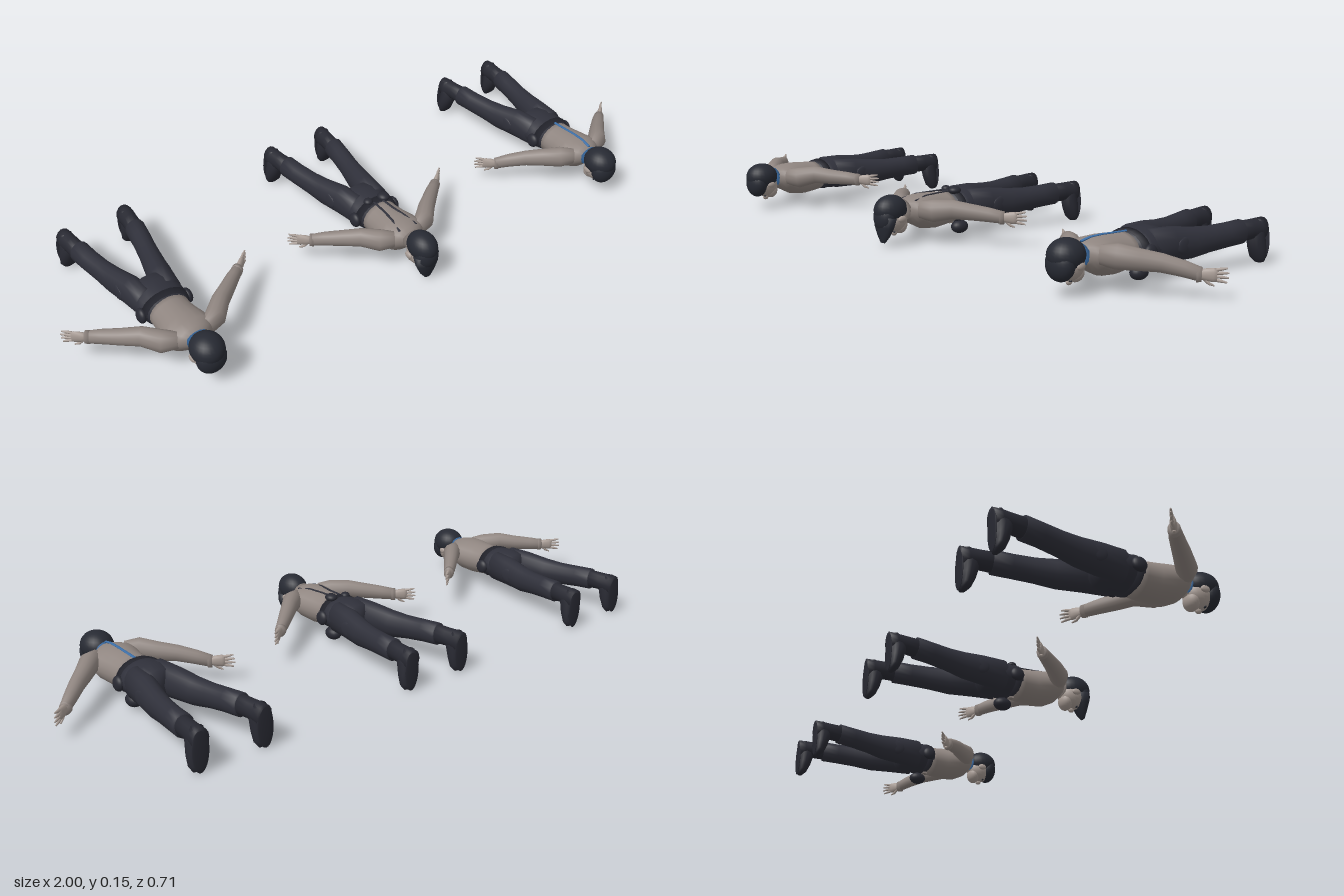
import * as THREE from 'three';

const paint = (name, hex) => {
  const m = new THREE.MeshStandardMaterial({ color: hex });
  m.name = name;
  return m;
};

// Smooth closed tube through elliptical sections [x, y, z, halfWidth, halfHeight]
function loftGeometry(sections, up, sides = 14) {
  const pts = sections.map(s => new THREE.Vector3(s[0], s[1], s[2]));
  const pos = [], idx = [];
  sections.forEach((s, i) => {
    const t = pts[Math.min(i + 1, pts.length - 1)].clone().sub(pts[Math.max(i - 1, 0)]).normalize();
    const side = up.clone().cross(t).normalize();
    const u = t.clone().cross(side);
    for (let k = 0; k < sides; k++) {
      const a = (k / sides) * Math.PI * 2;
      const p = pts[i].clone().addScaledVector(side, s[3] * Math.cos(a)).addScaledVector(u, s[4] * Math.sin(a));
      pos.push(p.x, p.y, p.z);
    }
  });
  for (let i = 0; i < sections.length - 1; i++) {
    for (let k = 0; k < sides; k++) {
      const a = i * sides + k, b = i * sides + (k + 1) % sides;
      idx.push(a, b, b + sides, a, b + sides, a + sides);
    }
  }
  // End caps
  const first = pos.length / 3, last = first + 1, base = (sections.length - 1) * sides;
  pos.push(...pts[0].toArray(), ...pts[pts.length - 1].toArray());
  for (let k = 0; k < sides; k++) {
    const n = (k + 1) % sides;
    idx.push(first, n, k, last, base + k, base + n);
  }
  const g = new THREE.BufferGeometry();
  g.setAttribute('position', new THREE.Float32BufferAttribute(pos, 3));
  g.setIndex(idx);
  g.computeVertexNormals();
  return g;
}

const Y = new THREE.Vector3(0, 1, 0), Z = new THREE.Vector3(0, 0, 1);

export function createModel() {
  const dark = paint('darkCloth', 0x2f303a);
  const boot = paint('bootLeather', 0x282932);
  const hairMat = paint('darkHair', 0x272a33);
  const shirt = paint('greyShirt', 0x8f8580);
  const skin = paint('skin', 0xa89c95);
  const blue = paint('blueTrim', 0x3c6fa8);

  const add = (parent, name, geo, mat) => {
    const m = new THREE.Mesh(geo, mat);
    m.name = name;
    parent.add(m);
    return m;
  };
  const loft = (parent, name, sections, mat, up = Y, sides = 14) =>
    add(parent, name, loftGeometry(sections, up, sides), mat);
  const ball = (parent, name, p, r, mat) => {
    const m = add(parent, name, new THREE.SphereGeometry(1, 24, 16), mat);
    m.position.set(...p);
    m.scale.set(...r);
    return m;
  };
  const box = (parent, name, p, s, mat) => {
    const m = add(parent, name, new THREE.BoxGeometry(...s), mat);
    m.position.set(...p);
    return m;
  };

  function arm(fig, m, hy) {
    const g = new THREE.Group();
    g.name = m > 0 ? 'leftArm' : 'rightArm';
    fig.add(g);
    const mid = (0.1 + hy) / 2 + 0.006;
    loft(g, 'sleeve', [
      [0.045 * m, 0.1, 0.228, 0.02, 0.026], [0.08 * m, 0.1, 0.208, 0.029, 0.033],
      [0.12 * m, mid + 0.006, 0.17, 0.025, 0.028], [0.16 * m, mid, 0.135, 0.022, 0.024],
      [0.2 * m, (mid + hy) / 2, 0.1, 0.019, 0.021], [0.232 * m, hy, 0.074, 0.015, 0.018]], shirt);
    loft(g, 'cuff', [[0.224 * m, hy, 0.08, 0.017, 0.02], [0.234 * m, hy, 0.072, 0.016, 0.019]], shirt);
    loft(g, 'palm', [[0.228 * m, hy, 0.077, 0.008, 0.011], [0.242 * m, hy, 0.066, 0.009, 0.016],
      [0.256 * m, hy, 0.055, 0.008, 0.018], [0.263 * m, hy, 0.05, 0.006, 0.016]], skin);
    // Four spread fingers and a thumb
    for (let i = 0; i < 4; i++) {
      const k = i - 1.5, len = 0.026 - Math.abs(k) * 0.003;
      loft(g, 'finger', [[0.257 * m, hy + k * 0.008, 0.054, 0.004, 0.0045],
        [(0.258 + len * 0.55) * m, hy + k * 0.01, 0.053 - len * 0.5, 0.004, 0.004],
        [(0.26 + len) * m, hy + k * 0.012, 0.052 - len * 0.85, 0.002, 0.002]], skin, Y, 8);
    }
    loft(g, 'thumb', [[0.238 * m, hy - 0.01, 0.068, 0.005, 0.005], [0.249 * m, hy - 0.022, 0.062, 0.004, 0.004],
      [0.258 * m, hy - 0.027, 0.053, 0.002, 0.002]], skin, Y, 8);
  }

  function leg(fig, m) {
    const g = new THREE.Group();
    g.name = m > 0 ? 'leftLeg' : 'rightLeg';
    fig.add(g);
    loft(g, 'trouserLeg', [
      [0.037 * m, 0.089, 0.04, 0.034, 0.048], [0.045 * m, 0.088, -0.03, 0.036, 0.047],
      [0.06 * m, 0.084, -0.1, 0.032, 0.042], [0.071 * m, 0.087, -0.155, 0.029, 0.036],
      [0.082 * m, 0.091, -0.215, 0.029, 0.034], [0.089 * m, 0.094, -0.266, 0.03, 0.034]], dark);
    loft(g, 'bootShaft', [[0.088 * m, 0.094, -0.255, 0.025, 0.029], [0.093 * m, 0.095, -0.3, 0.024, 0.028],
      [0.096 * m, 0.093, -0.33, 0.025, 0.031], [0.097 * m, 0.092, -0.352, 0.024, 0.032]], boot);
    loft(g, 'bootFoot', [[0.096 * m, 0.118, -0.336, 0.018, 0.014], [0.097 * m, 0.08, -0.325, 0.025, 0.029],
      [0.099 * m, 0.045, -0.33, 0.027, 0.023], [0.1 * m, 0.018, -0.336, 0.026, 0.017],
      [0.101 * m, 0.003, -0.342, 0.016, 0.009]], boot, Z);
    const sole = ball(g, 'sole', [0.099 * m, 0.062, -0.351], [0.026, 0.062, 0.004], boot);
    sole.rotation.z = 0.03 * m;
    // Thigh pocket
    ball(g, 'thighPocket', [0.078 * m, 0.086, -0.055], [0.007, 0.024, 0.032], dark);
  }

  function head(fig, capped, wide) {
    const g = new THREE.Group();
    g.name = 'head';
    fig.add(g);
    loft(g, 'neck', [[0, 0.094, 0.235, 0.026, 0.026], [0, 0.09, 0.275, 0.024, 0.026]], skin);
    ball(g, 'face', [0, 0.077, 0.293], [0.038, 0.04, 0.043], skin);
    ball(g, 'jaw', [0, 0.058, 0.272], [0.028, 0.028, 0.022], skin);
    ball(g, 'nose', [0, 0.034, 0.29], [0.006, 0.009, 0.01], skin);
    for (const m of [-1, 1]) {
      ball(g, 'ear', [0.04 * m, 0.08, 0.29], [0.006, 0.01, 0.014], skin);
      ball(g, 'eye', [0.015 * m, 0.041, 0.302], [0.006, 0.003, 0.003], hairMat);
    }
    ball(g, 'hair', [0, 0.104, 0.302], [wide, 0.043, 0.052], hairMat);
    ball(g, 'fringe', [0, 0.083, 0.322], [wide * 0.92, 0.044, 0.031], hairMat);
    if (capped) {
      // Downturned cap peak
      loft(g, 'capPeak', [[0, 0.085, 0.32, 0.041, 0.03], [0, 0.055, 0.325, 0.037, 0.022],
        [0, 0.03, 0.328, 0.026, 0.012], [0, 0.01, 0.331, 0.01, 0.004]], hairMat, Z);
    }
  }

  function figure(x, handY, style) {
    const f = new THREE.Group();
    f.name = style + 'Figure';
    f.position.x = x;
    loft(f, 'torso', [[0, 0.1, 0.258, 0.025, 0.022], [0, 0.1, 0.243, 0.048, 0.031], [0, 0.094, 0.222, 0.072, 0.043],
      [0, 0.086, 0.19, 0.07, 0.052], [0, 0.083, 0.15, 0.062, 0.053], [0, 0.084, 0.11, 0.058, 0.049],
      [0, 0.086, 0.085, 0.06, 0.046]], shirt, Y, 20);
    loft(f, 'hips', [[0, 0.088, 0.098, 0.061, 0.044], [0, 0.088, 0.06, 0.071, 0.049], [0, 0.088, 0.02, 0.073, 0.052],
      [0, 0.088, -0.015, 0.06, 0.046], [0, 0.088, -0.03, 0.02, 0.03]], dark, Y, 20);
    loft(f, 'belt', [[0, 0.088, 0.092, 0.067, 0.048], [0, 0.088, 0.072, 0.072, 0.051]], boot, Y, 20);
    loft(f, 'collar', [[0, 0.096, 0.262, 0.029, 0.028], [0, 0.098, 0.25, 0.034, 0.031]],
      style === 'capped' ? shirt : blue);
    for (const m of [-1, 1]) {
      arm(f, m, handY);
      leg(f, m);
      // Belt pouches on both hips
      const pouch = ball(f, 'beltPouch', [0.071 * m, 0.085, 0.072], [0.013, 0.022, 0.022], boot);
      pouch.rotation.z = 0.1 * m;
    }
    head(f, style === 'capped', style === 'capped' ? 0.041 : 0.047);
    if (style === 'capped') {
      ball(f, 'backPouch', [0.025, 0.137, 0.083], [0.018, 0.012, 0.02], boot);
      ball(f, 'smallBackPouch', [-0.025, 0.134, 0.075], [0.014, 0.01, 0.014], boot);
      for (const m of [-1, 1]) {
        loft(f, 'backStrap', [[0.03 * m, 0.125, 0.235, 0.004, 0.002], [0.022 * m, 0.134, 0.19, 0.004, 0.002],
          [0.016 * m, 0.135, 0.14, 0.004, 0.002], [0.014 * m, 0.135, 0.09, 0.004, 0.002]], dark, Y, 8);
      }
    }
    if (style === 'strapped') {
      loft(f, 'blueBackStrap', [[0, 0.13, 0.25, 0.005, 0.003], [0.002, 0.137, 0.22, 0.005, 0.002],
        [0.003, 0.138, 0.18, 0.005, 0.002], [0.003, 0.136, 0.14, 0.005, 0.002],
        [0.003, 0.134, 0.09, 0.005, 0.002]], blue, Y, 8);
    }
    if (style !== 'plain') {
      ball(f, 'frontPouch', [0.03, 0.026, 0.068], [0.022, 0.02, 0.028], boot);
      box(f, 'buckle', [0, 0.037, 0.082], [0.016, 0.006, 0.014], shirt);
    }
    return f;
  }

  const model = new THREE.Group();
  model.name = 'threeProneFigures';
  model.add(
    figure(-0.714, 0.098, 'plain'),
    figure(-0.003, 0.086, 'capped'),
    figure(0.71, 0.062, 'strapped')
  );
  return model;
}
